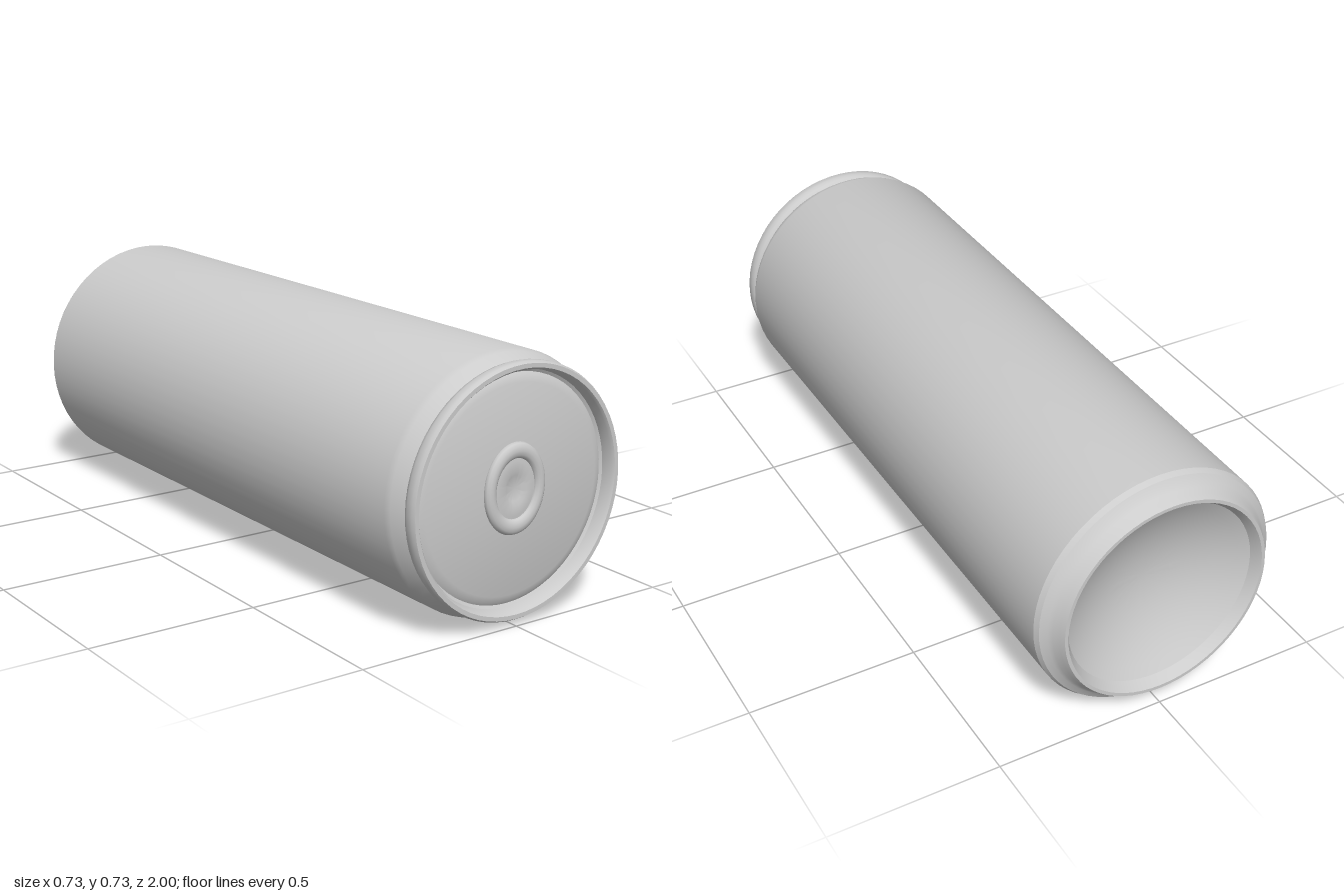
import * as THREE from 'three';
import { toCreasedNormals } from 'three/addons/utils/BufferGeometryUtils.js';

const AXIS_Y = 0.366; // height of the can's long axis

export function createModel() {
  const group = new THREE.Group();
  const material = new THREE.MeshStandardMaterial({ color: 0xcccccc });

  // Adds a part around the long axis (z)
  const add = (name, geometry) => {
    const mesh = new THREE.Mesh(geometry, material);
    mesh.name = name;
    mesh.position.y = AXIS_Y;
    group.add(mesh);
    return mesh;
  };
  // Revolves [radius, z] pairs around z, listed so the outside faces out
  const turned = (profile, crease = 0.45) => {
    const points = profile.map(([r, z]) => new THREE.Vector2(r, z));
    const geometry = new THREE.LatheGeometry(points, 64).rotateX(Math.PI / 2);
    return toCreasedNormals(geometry, crease);
  };

  // Domed base pressed inward, ending at the standing edge
  const dome = [];
  for (let i = 0; i <= 10; i++) {
    const t = i / 10;
    dome.push([0.285 * t, -0.88 - 0.09 * t * t]);
  }
  add('domedBase', turned([...dome, [0.294, -0.988], [0.302, -1], [0.312, -1]]));

  // Straight wall with the tapered foot and the necked shoulder
  add('bodyWall', turned([
    [0.312, -1], [0.32, -0.985], [0.329, -0.967], [0.338, -0.957], [0.357, -0.945],
    [0.365, -0.93], [0.365, 0.9], [0.359, 0.918], [0.337, 0.952],
  ]));

  // Rolled rim around the lid
  add('rim', turned([
    [0.337, 0.952], [0.345, 0.96], [0.349, 0.972], [0.349, 0.992], [0.344, 1],
    [0.332, 1], [0.326, 0.992], [0.322, 0.962],
  ], 0.9));

  // Recessed lid with its shallow countersink
  add('lid', turned([
    [0.322, 0.962], [0.314, 0.957], [0.306, 0.962], [0.288, 0.968], [0, 0.97],
  ]));

  // Oval pull tab: flattened ring with a dished web inside
  const ring = add('tabRing', new THREE.TorusGeometry(0.083, 0.018, 12, 48));
  ring.scale.set(1, 1.25, 0.8);
  ring.position.set(0.002, 0.373, 0.973);

  const web = add('tabWeb', turned([
    [0.083, 0.974], [0.06, 0.976], [0.038, 0.978], [0.028, 0.973], [0, 0.972],
  ], 0.8));
  web.scale.y = 1.25;
  web.position.set(0.002, 0.373, 0);

  return group;
}
